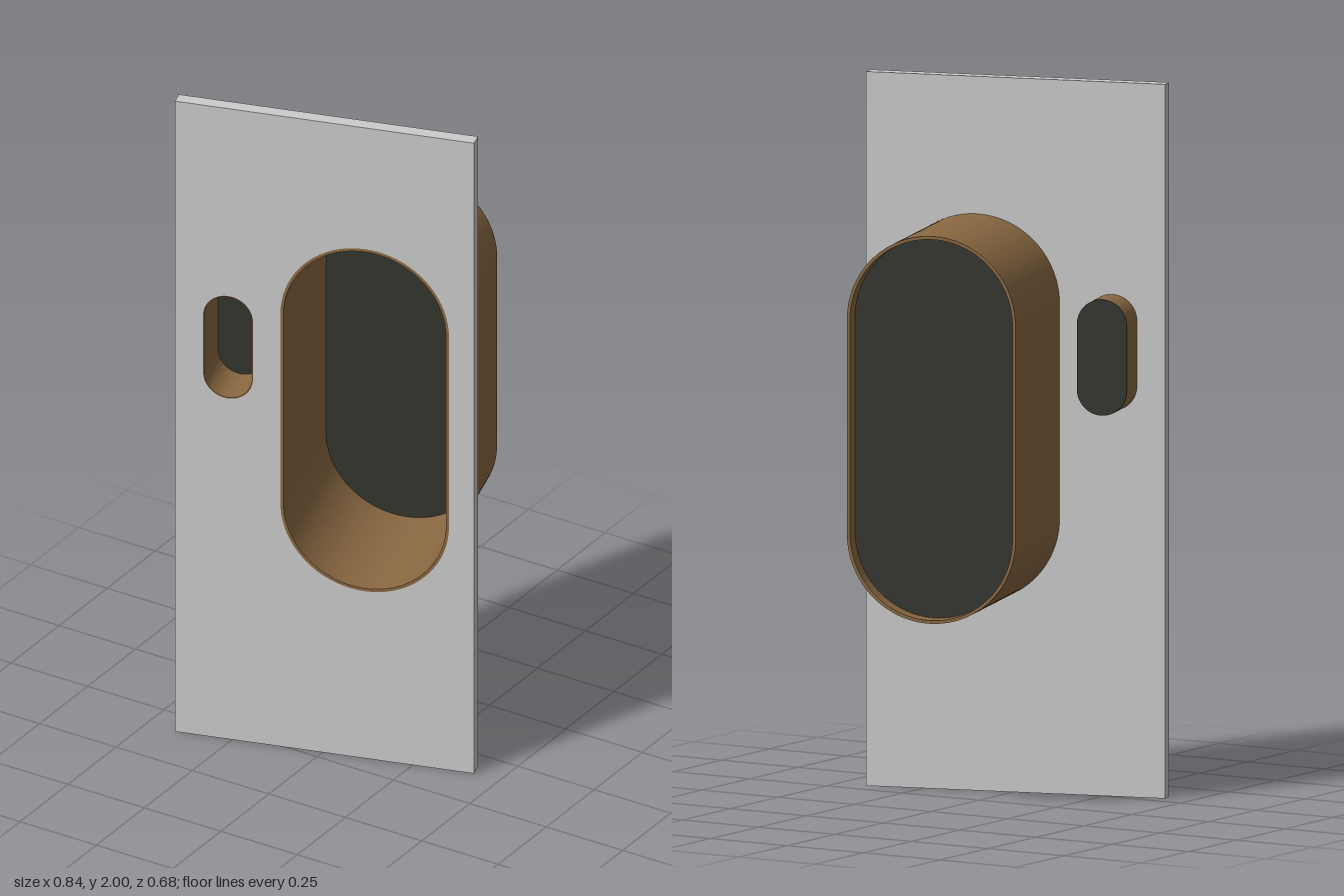
import * as THREE from 'three';
import { toCreasedNormals } from 'three/addons/utils/BufferGeometryUtils.js';

const mat = (name, color) => {
  const m = new THREE.MeshStandardMaterial({ color });
  m.name = name;
  return m;
};

// Upright slot outline with semicircular ends
function slot(Type, x, y, r, halfHeight) {
  const s = new Type();
  const d = halfHeight - r;
  s.absarc(x, y + d, r, 0, Math.PI, false);
  s.absarc(x, y - d, r, Math.PI, Math.PI * 2, false);
  s.closePath();
  return s;
}

// Extrude a shape between two depths, smooth on the curved ends
function slab(name, shape, back, front, material) {
  const g = new THREE.ExtrudeGeometry(shape, { depth: front - back, bevelEnabled: false, curveSegments: 40 });
  g.translate(0, 0, back);
  const mesh = new THREE.Mesh(toCreasedNormals(g, 0.6), material);
  mesh.name = name;
  return mesh;
}

export function createModel() {
  const metal = mat('grey metal', 0xcccccc);
  const wood = mat('brown wall', 0x8b6942);
  const dark = mat('dark floor', 0x34352e);

  const front = 0.02, halfWidth = 0.431;
  const pockets = [
    { name: 'large', x: 0.116, y: 1.0725, r: 0.243, h: 0.5425, wall: 0.009, back: -0.46, floor: [-0.41, -0.403], inset: 0.009 },
    { name: 'small', x: -0.278, y: 1.243, r: 0.072, h: 0.1625, wall: 0.003, back: -0.119, floor: [-0.122, -0.119], inset: 0 },
  ];

  const model = new THREE.Group();
  model.name = 'recessedPanel';

  // Face plate with two slots
  const plate = new THREE.Shape();
  plate.moveTo(-halfWidth, 0);
  plate.lineTo(halfWidth, 0);
  plate.lineTo(halfWidth, 2);
  plate.lineTo(-halfWidth, 2);
  plate.closePath();
  for (const p of pockets) plate.holes.push(slot(THREE.Path, p.x, p.y, p.r, p.h));
  model.add(slab('facePlate', plate, -front, front, metal));

  // Pocket walls and floors
  for (const p of pockets) {
    const wall = slot(THREE.Shape, p.x, p.y, p.r, p.h);
    wall.holes.push(slot(THREE.Path, p.x, p.y, p.r - p.wall, p.h - p.wall));
    const floor = slot(THREE.Shape, p.x, p.y, p.r - p.inset, p.h - p.inset);
    model.add(
      slab(p.name + 'PocketWall', wall, p.back, front, wood),
      slab(p.name + 'PocketFloor', floor, p.floor[0], p.floor[1], dark)
    );
  }

  // The whole panel is turned about the vertical axis
  model.rotation.y = 0.28;
  model.position.z = 0.2;
  const root = new THREE.Group();
  root.name = 'model';
  root.add(model);
  return root;
}
